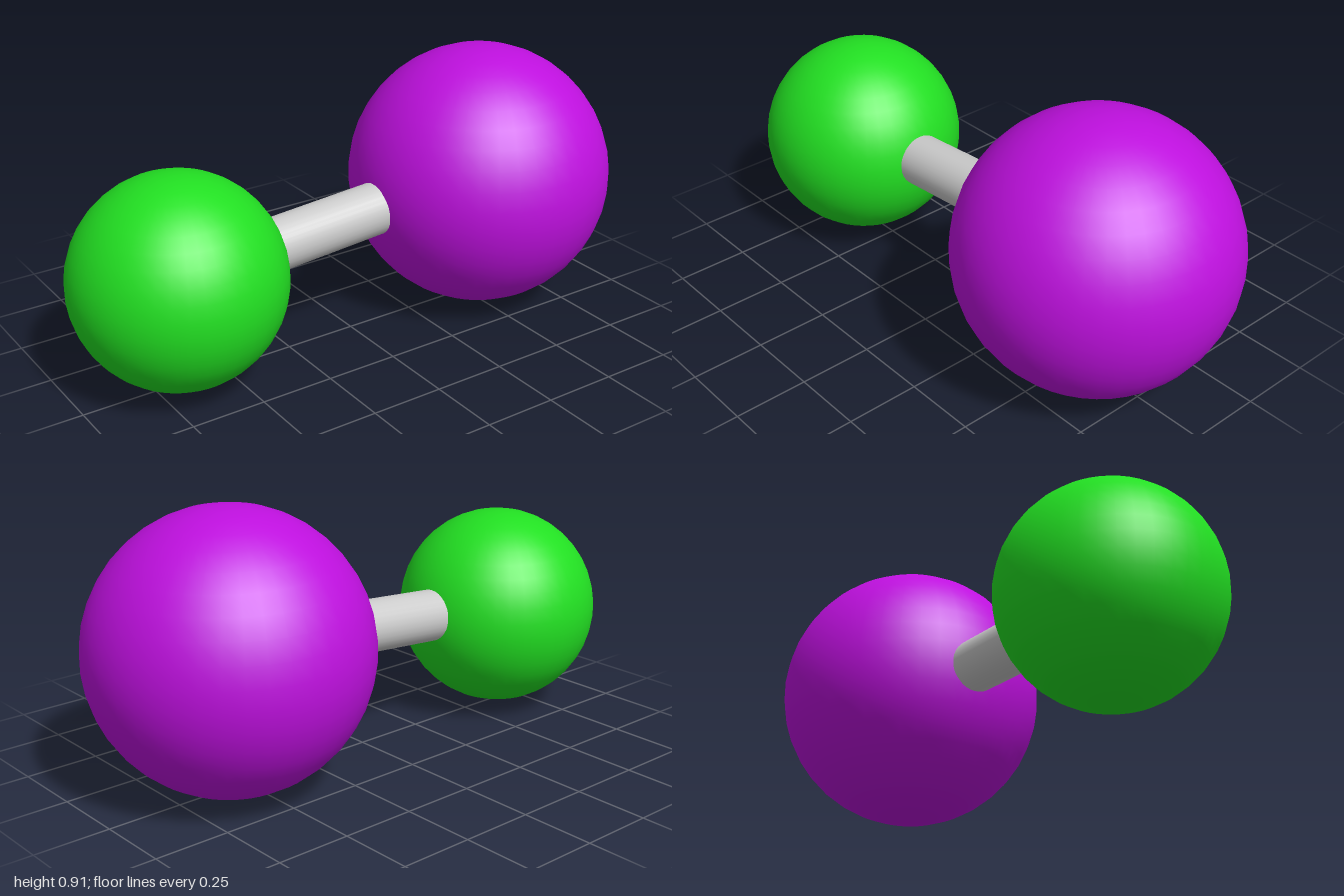
import * as THREE from 'three';

// One smooth ball of the pair
function makeBall(name, radius, center, color) {
  const ball = new THREE.Mesh(
    new THREE.SphereGeometry(radius, 42, 21),
    new THREE.MeshStandardMaterial({ color })
  );
  ball.name = name;
  ball.position.copy(center);
  return ball;
}

// Round rod running between two points
function makeRod(name, radius, start, end) {
  const rod = new THREE.Mesh(
    new THREE.CylinderGeometry(radius, radius, start.distanceTo(end), 32),
    new THREE.MeshStandardMaterial({ color: 0xcccccc })
  );
  rod.name = name;
  rod.position.addVectors(start, end).multiplyScalar(0.5);
  rod.quaternion.setFromUnitVectors(
    new THREE.Vector3(0, 1, 0),
    end.clone().sub(start).normalize()
  );
  return rod;
}

export function createModel() {
  const model = new THREE.Group();
  model.name = 'ballAndStickPair';

  const smallCenter = new THREE.Vector3(-0.65, 0.367, 0);
  const largeCenter = new THREE.Vector3(0.543, 0.457, 0);

  model.add(
    makeBall('smallBall', 0.35, smallCenter, 0x22e022),
    makeBall('largeBall', 0.457, largeCenter, 0xbe10de),
    makeRod('connectingRod', 0.09, smallCenter, largeCenter)
  );
  return model;
}
